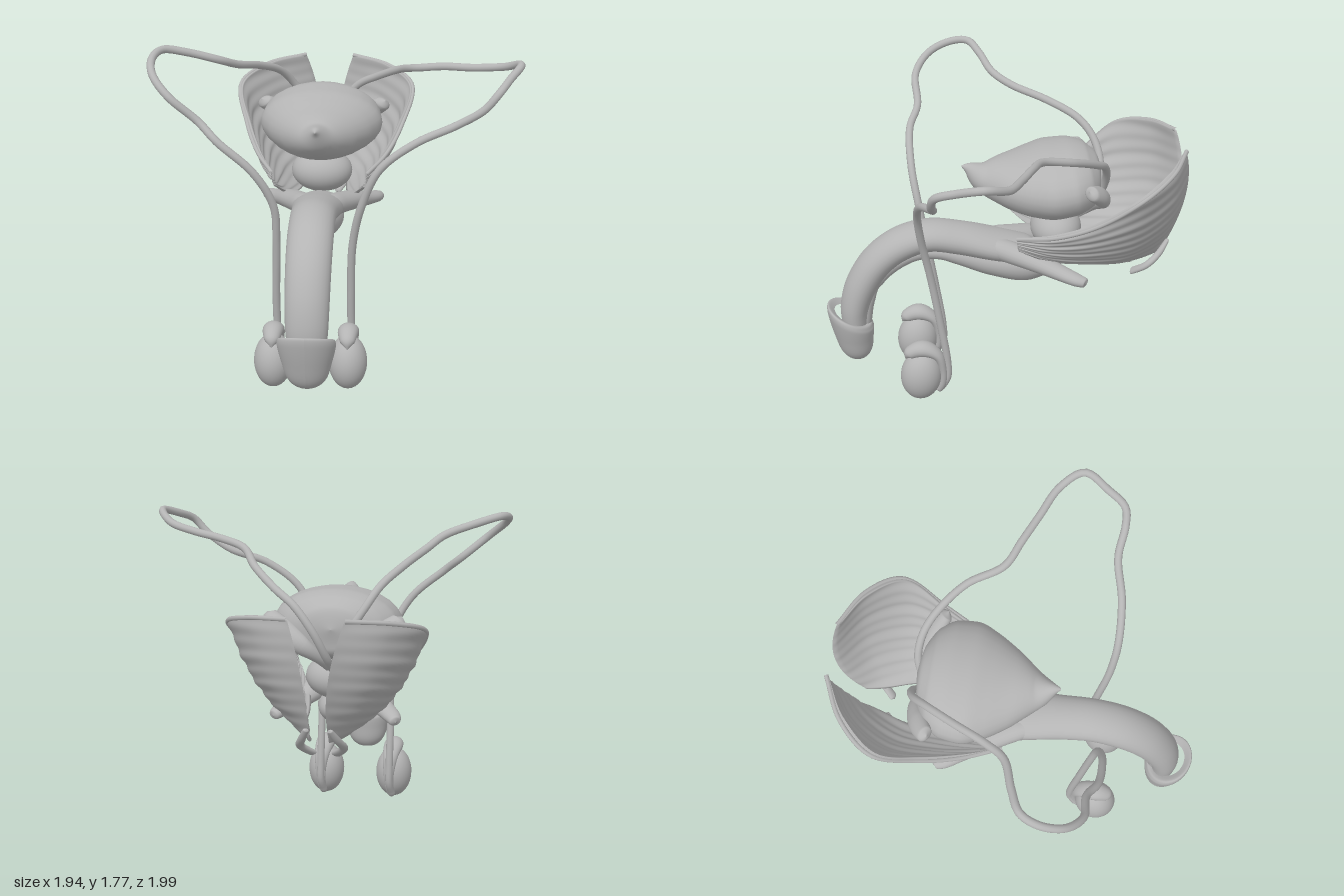
import * as THREE from 'three';

const V = (x, y, z) => new THREE.Vector3(x, y, z);
const MID = -0.11; // x of the symmetry plane
const tissue = new THREE.MeshStandardMaterial({ color: 0xb4b4b4 });
tissue.name = 'tissue grey';

// Skin a series of closed rings
function loft(rings) {
  const n = rings[0].length, pos = [], idx = [];
  rings.forEach((r) => r.forEach((p) => pos.push(p.x, p.y, p.z)));
  for (let i = 0; i < rings.length - 1; i++) {
    for (let j = 0; j < n; j++) {
      const a = i * n + j, b = i * n + ((j + 1) % n);
      idx.push(a, b, b + n, a, b + n, a + n);
    }
  }
  const g = new THREE.BufferGeometry();
  g.setAttribute('position', new THREE.Float32BufferAttribute(pos, 3));
  g.setIndex(idx);
  g.computeVertexNormals();
  return g;
}

// Sweep an ellipse along stations [x, y, z, half width, half height]
function sweep(stations, steps = 60, sides = 28) {
  const path = new THREE.CatmullRomCurve3(stations.map((s) => V(s[0], s[1], s[2])));
  const size = new THREE.CatmullRomCurve3(stations.map((s) => V(s[3], s[4], 0)));
  const rings = [];
  for (let i = 0; i <= steps; i++) {
    const p = path.getPoint(i / steps), t = path.getTangent(i / steps), r = size.getPoint(i / steps);
    const side = V(1, 0, 0).addScaledVector(t, -t.x).normalize();
    const up = t.clone().cross(side);
    const ring = [];
    for (let j = 0; j < sides; j++) {
      const a = (j / sides) * Math.PI * 2;
      ring.push(p.clone()
        .addScaledVector(side, Math.cos(a) * Math.max(r.x, 0.0005))
        .addScaledVector(up, Math.sin(a) * Math.max(r.y, 0.0005)));
    }
    rings.push(ring);
  }
  return loft(rings);
}

// Muscle sheet of one side: top, middle and bottom edges, ridged and thin
function wing(s) {
  const curve = (pts) => new THREE.CatmullRomCurve3(pts.map((p) => V(...p)));
  const top = curve([[.26, 1.03, -.04], [.36, 1.08, -.24], [.44, 1.18, -.45], [.495, 1.35, -.68], [.36, 1.42, -.85], [.14, 1.45, -.96]]);
  const mid = curve([[.26, .99, -.04], [.3, .95, -.22], [.33, .95, -.43], [.34, 1, -.66], [.25, 1.08, -.85], [.06, 1.13, -.985]]);
  const low = curve([[.25, .95, -.05], [.19, .85, -.2], [.15, .8, -.4], [.13, .78, -.6], [.09, .78, -.75], [.05, .8, -.86]]);
  const rings = [], nu = 70, nv = 60;
  for (let i = 0; i <= nu; i++) {
    const u = i / nu, T = top.getPoint(u), M = mid.getPoint(u), B = low.getPoint(u);
    const thick = Math.pow(Math.max(Math.sin(Math.PI * u), 0), 0.3);
    const at = (v, inner) => {
      const p = V(0, 0, 0).addScaledVector(T, (1 - v) * (1 - 2 * v))
        .addScaledVector(M, 4 * v * (1 - v)).addScaledVector(B, v * (2 * v - 1));
      const ridge = 0.004 * Math.sin(v * 58 + 3 * Math.sin(u * 5)) + 0.003 * Math.sin(v * 31 - u * 9);
      p.x += ridge * thick;
      if (inner) p.add(V(-.02, .012, .014).multiplyScalar(thick));
      return V(MID + s * p.x, p.y, p.z);
    };
    const ring = [];
    for (let j = 0; j <= nv; j++) ring.push(at(j / nv, false));
    for (let j = nv; j >= 0; j--) ring.push(at(j / nv, true));
    if (s < 0) ring.reverse();
    rings.push(ring);
  }
  const rim = new THREE.CatmullRomCurve3(top.getPoints(24).map((p) => V(MID + s * p.x, p.y, p.z)));
  return [loft(rings), new THREE.TubeGeometry(rim, 60, 0.012, 8)];
}

// Tilted cap at the end of the shaft
function capGeometry() {
  const profile = new THREE.SplineCurve([[0, .19], [.06, .2], [.105, .25], [.13, .34], [.146, .41], [.15, .45], [.138, .475], [.1, .46]]
    .map((p) => new THREE.Vector2(...p)));
  const g = new THREE.LatheGeometry(profile.getPoints(36), 48);
  const p = g.attributes.position;
  for (let i = 0; i < p.count; i++) {
    const k = THREE.MathUtils.clamp((p.getY(i) - .19) / .27, 0, 1);
    const z = p.getZ(i) * .85;
    p.setXYZ(i, p.getX(i) + MID, p.getY(i) + z * .5 * k * k, z + .875 - .035 * (1 - k));
  }
  g.computeVertexNormals();
  return g;
}

export function createModel() {
  const root = new THREE.Group();
  root.name = 'anatomyModel';
  const add = (name, geometry) => {
    const m = new THREE.Mesh(geometry, tissue);
    m.name = name;
    root.add(m);
    return m;
  };
  const ball = (name, x, y, z, rx, ry, rz) => {
    const m = add(name, new THREE.SphereGeometry(1, 32, 24));
    m.position.set(x, y, z);
    m.scale.set(rx, ry, rz);
    return m;
  };
  // Stations [y, z, a, b] on the symmetry plane
  const central = (list) => sweep(list.map(([y, z, a, b]) => [MID, y, z, a, b]));

  add('bladder', central([[1.355, .235, .004, .004], [1.342, .2, .03, .03], [1.29, .12, .1, .085], [1.265, 0, .205, .135],
    [1.255, -.12, .285, .17], [1.26, -.25, .337, .19], [1.272, -.36, .325, .186], [1.28, -.45, .26, .16],
    [1.285, -.5, .16, .11], [1.285, -.525, 0, 0]]));
  ball('prostate', MID, .97, -.28, .17, .12, .14);

  add('shaft', central([[.4, .85, .1, .07], [.52, .845, .11, .08], [.66, .8, .115, .088], [.8, .71, .118, .09],
    [.9, .58, .12, .09], [.945, .42, .12, .085], [.92, .25, .125, .085], [.87, .05, .14, .08],
    [.83, -.12, .12, .07], [.81, -.22, 0, 0]]));
  add('lowerColumn', central([[.42, .8, .05, .045], [.56, .775, .05, .045], [.68, .72, .05, .045], [.77, .64, .055, .05],
    [.845, .5, .06, .05], [.85, .37, .065, .05], [.82, .24, .08, .065], [.78, .08, .105, .09],
    [.765, -.1, .135, .115], [.77, -.23, .11, .085], [.775, -.31, .05, .04], [.775, -.34, 0, 0]]));
  add('cap', capGeometry());

  for (const s of [-1, 1]) {
    const label = s < 0 ? 'right' : 'left';
    const mirrored = (list) => sweep(list.map(([x, y, z, a, b]) => [MID + s * x, y, z, a, b]), 40, 20);

    add(label + 'Crus', mirrored([[.05, .9, .12, .05, .04], [.09, .87, 0, .07, .06], [.16, .84, -.14, .07, .055],
      [.24, .805, -.27, .055, .042], [.3, .785, -.36, .045, .034], [.32, .775, -.405, .03, .025], [.325, .773, -.412, 0, 0]]));
    add(label + 'SeminalVesicle', mirrored([[.35, 1.34, -.41, 0, 0], [.335, 1.32, -.425, .045, .035], [.25, 1.26, -.48, .06, .045],
      [.15, 1.19, -.51, .05, .04], [.07, 1.12, -.47, .03, .03], [.03, 1.05, -.4, .02, .02]]));
    add(label + 'HindStrip', mirrored([[.05, .68, -.7, 0, 0], [.06, .69, -.71, .025, .014], [.11, .75, -.78, .022, .018],
      [.09, .81, -.85, .02, .018], [.06, .875, -.9, .015, .01], [.058, .88, -.905, 0, 0]]));

    const [sheet, rim] = wing(s);
    add(label + 'PelvicFloor', sheet);
    add(label + 'PelvicFloorRim', rim);

    // Testis with the coiled body over its top and back
    const x = s < 0 ? -.32 : .08;
    ball(label + 'Testis', x, .16, .493, .103, .148, .115).rotation.x = -.08;
    add(label + 'Epididymis', sweep([[x, .27, .58, 0, 0], [x, .305, .555, .04, .035], [x, .33, .48, .055, .045],
      [x + .01, .29, .4, .045, .03], [x + .015, .19, .37, .03, .022], [x + .01, .1, .375, .025, .022],
      [x, .055, .395, .02, .018], [x, .05, .41, 0, 0]], 50, 20));
  }

  // The two ducts follow different routes
  const ducts = {
    rightDuct: [[-.32, .07, .38], [-.31, .14, .345], [-.31, .25, .345], [-.31, .5, .38], [-.3, .81, .43], [-.31, 1.03, .465],
      [-.41, 1.22, .495], [-.59, 1.38, .49], [-.69, 1.47, .44], [-.84, 1.6, .44], [-.93, 1.69, .36], [-.95, 1.745, .24],
      [-.91, 1.765, .14], [-.79, 1.735, .08], [-.63, 1.68, .02], [-.55, 1.63, -.08], [-.45, 1.575, -.265],
      [-.35, 1.5, -.43], [-.28, 1.4, -.51], [-.2, 1.27, -.535], [-.14, 1.13, -.49], [-.12, 1.04, -.4]],
    leftDuct: [[.08, .07, .38], [.09, .14, .345], [.09, .25, .345], [.09, .5, .38], [.1, .81, .43], [.15, 1.05, .475],
      [.24, 1.25, .495], [.42, 1.39, .48], [.62, 1.47, .43], [.76, 1.56, .445], [.83, 1.64, .43], [.89, 1.69, .33],
      [.95, 1.73, .2], [.87, 1.685, .08], [.71, 1.655, 0], [.56, 1.64, -.07], [.42, 1.61, -.14], [.32, 1.55, -.32],
      [.19, 1.47, -.45], [.08, 1.4, -.515], [-.02, 1.27, -.535], [-.08, 1.13, -.49], [-.1, 1.04, -.4]],
  };
  for (const [name, pts] of Object.entries(ducts)) {
    add(name, new THREE.TubeGeometry(new THREE.CatmullRomCurve3(pts.map((p) => V(...p))), 160, 0.021, 12));
  }
  return root;
}
